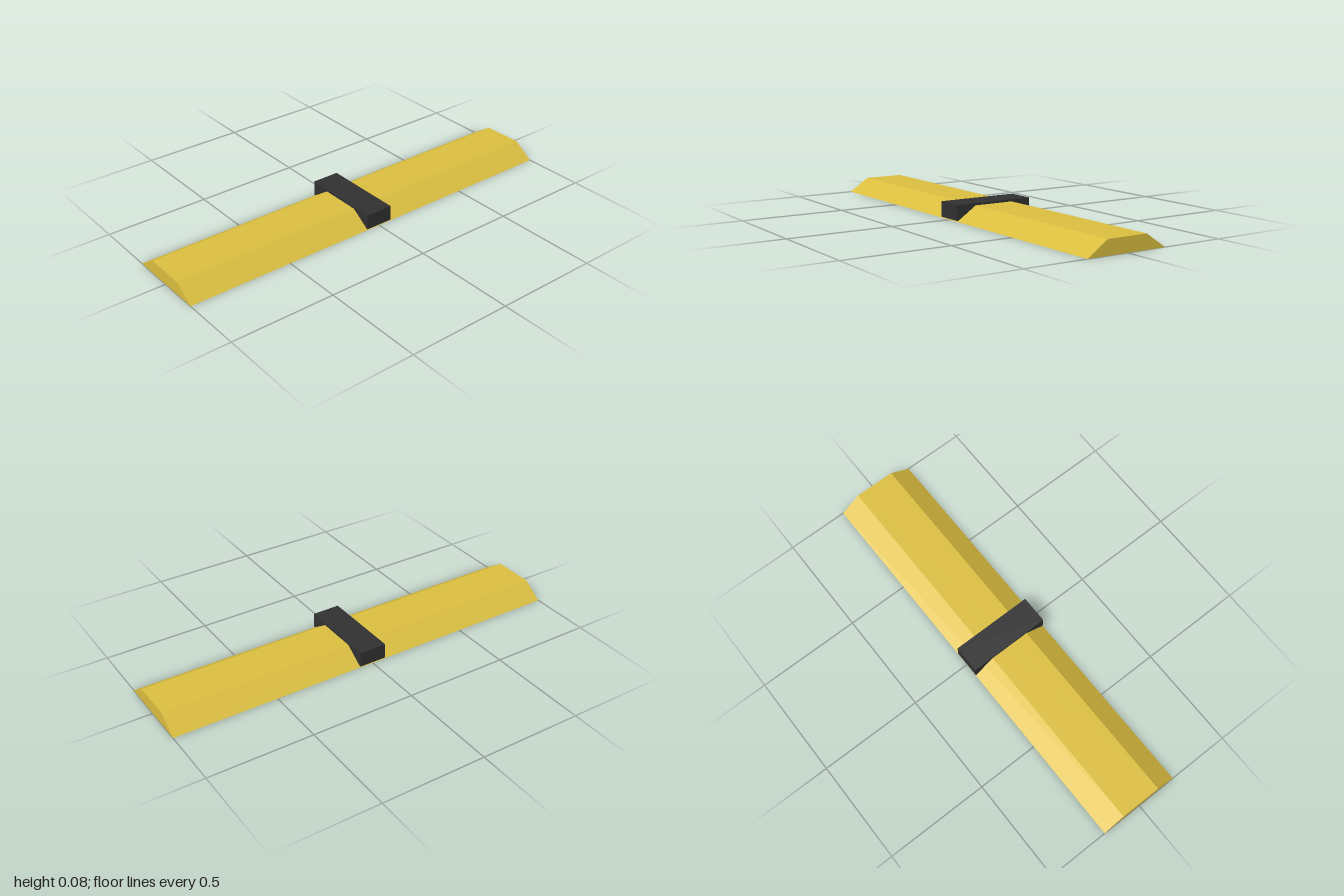
import * as THREE from 'three';

export function createModel() {
  const group = new THREE.Group();
  const yellow = new THREE.MeshStandardMaterial({ color: 0xdabd3f });
  yellow.name = 'yellow';
  const black = new THREE.MeshStandardMaterial({ color: 0x313131 });
  black.name = 'black';

  // Long bar with a trapezoid cross-section, running along x
  const profile = new THREE.Shape([
    new THREE.Vector2(-0.2, 0),
    new THREE.Vector2(0.2, 0),
    new THREE.Vector2(0.1, 0.067),
    new THREE.Vector2(-0.1, 0.067),
  ]);
  const barGeometry = new THREE.ExtrudeGeometry(profile, { depth: 2, bevelEnabled: false });
  barGeometry.translate(0, 0, -1).rotateY(Math.PI / 2);
  const bar = new THREE.Mesh(barGeometry, yellow);
  bar.name = 'bar';

  // Dark block across the middle, just clear of the ground
  const bottom = 0.004, top = 0.077;
  const block = new THREE.Mesh(new THREE.BoxGeometry(0.135, top - bottom, 0.4), black);
  block.position.y = (top + bottom) / 2;
  block.name = 'centreBlock';

  group.add(bar, block);
  return group;
}
